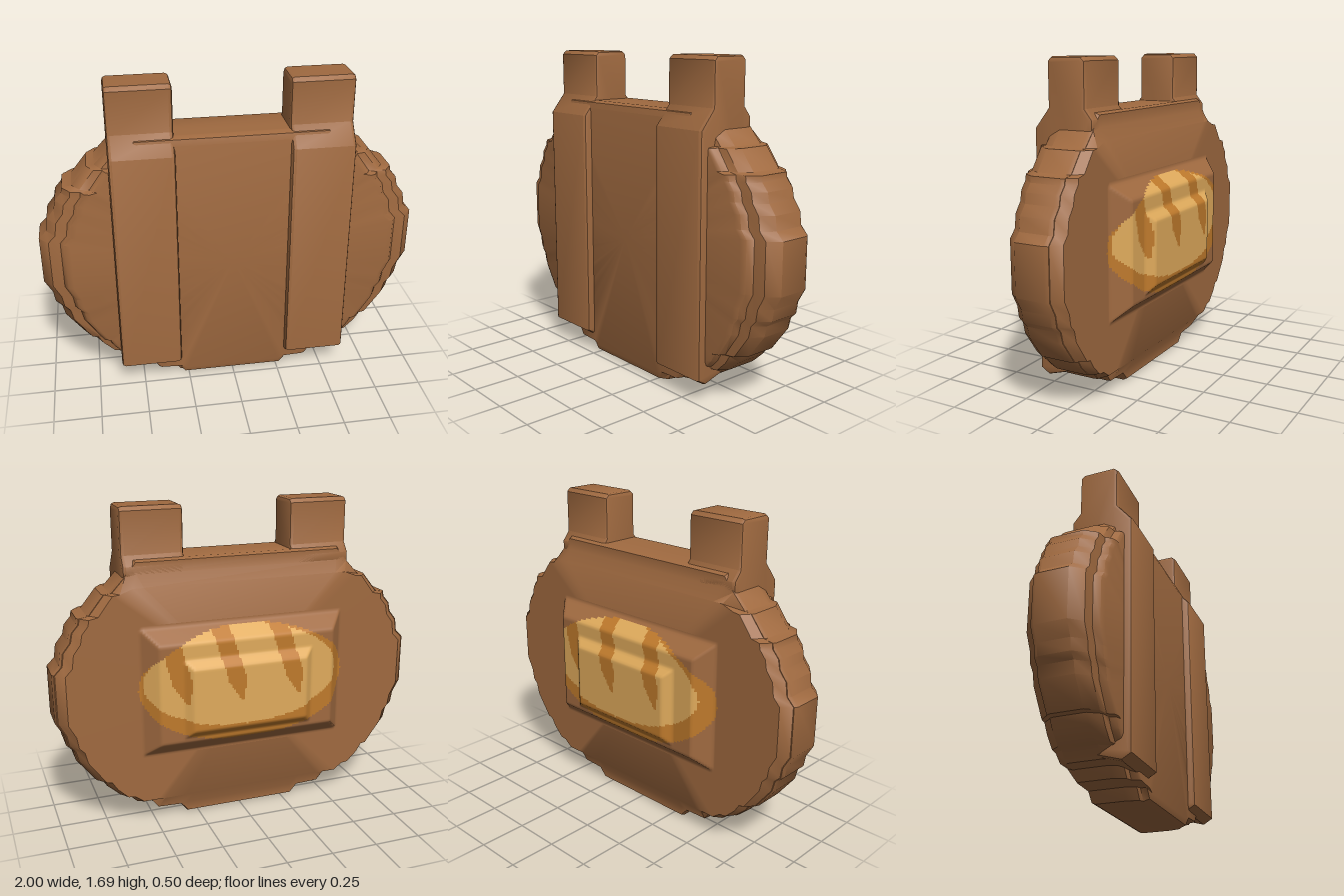
import * as THREE from 'three';
import { toCreasedNormals } from 'three/addons/utils/BufferGeometryUtils.js';

const MID = 0.715;
const clamp = THREE.MathUtils.clamp;

// Right half of the stepped board outline, from bottom to top
const HALF = [
  [0.31, 0], [0.35, 0.055], [0.48, 0.06], [0.52, 0.11], [0.6, 0.115], [0.65, 0.165],
  [0.69, 0.17], [0.75, 0.225], [0.78, 0.27], [0.81, 0.275], [0.905, 0.4], [0.92, 0.46],
  [0.95, 0.49], [0.96, 0.55], [1, 0.62], [1, 0.88], [0.96, 0.92], [0.95, 0.99],
  [0.91, 1.04], [0.9, 1.09], [0.865, 1.13], [0.86, 1.16], [0.81, 1.17], [0.73, 1.27],
  [0.69, 1.275], [0.62, 1.35], [0.56, 1.43],
];

// Board cross-sections from back to front: z, width factor, lowest y, highest y
const RINGS = [
  [-0.125, 0, MID, MID], [-0.125, 0.94, 0.13, 1.3], [-0.08, 0.985, 0.06, 1.36],
  [-0.08, 0.99, 0.01, 1.42], [-0.06, 1, 0, 1.43], [0.1, 1, 0, 1.43],
  [0.16, 0.95, 0, 1.43], [0.17, 0.89, 0, 1.43], [0.2, 0.87, 0.01, 1.42],
  [0.21, 0.84, 0.04, 1.39], [0.21, 0, MID, MID],
];

function boardGeometry() {
  const outline = [...HALF, ...HALF.map(([x, y]) => [-x, y]).reverse()];
  const n = outline.length;
  const pos = [];
  const index = [];
  RINGS.forEach(([z, s, lo, hi], i) => {
    outline.forEach(([x, y], j) => {
      pos.push(x * s, clamp(y, lo, hi), z);
      if (i === 0) return;
      const k = (j + 1) % n;
      const a = (i - 1) * n + j, b = (i - 1) * n + k, c = i * n + k, d = i * n + j;
      index.push(a, b, c, a, c, d);
    });
  });
  const geo = new THREE.BufferGeometry();
  geo.setAttribute('position', new THREE.Float32BufferAttribute(pos, 3));
  geo.setIndex(index);
  return toCreasedNormals(geo, 0.7);
}

// Front batten that carries on upwards as a hanging post
function battenGeometry() {
  const profile = [
    [0.2, 0.09], [0.25, 0.12], [0.25, 1.35], [0.17, 1.45], [0.17, 1.67], [0.15, 1.69],
    [-0.02, 1.69], [-0.04, 1.67], [-0.04, 1.45], [-0.08, 1.4], [-0.08, 1.34], [0, 1.2], [0, 0.15],
  ];
  const shape = new THREE.Shape(profile.map(([z, y]) => new THREE.Vector2(-z, y)));
  const bevel = 0.02;
  const geo = new THREE.ExtrudeGeometry(shape, {
    depth: 0.33 - 2 * bevel, bevelEnabled: true, bevelThickness: bevel,
    bevelSize: bevel, bevelOffset: -bevel, bevelSegments: 2,
  });
  geo.translate(0, 0, bevel - 0.165);
  geo.rotateY(Math.PI / 2);
  return toCreasedNormals(geo, 0.7);
}

// Height of the two-tier raised panel on the back
function relief(x, y) {
  const ax = Math.abs(x);
  const low = Math.min(0.087, 1.1 * Math.min(0.56 - ax, y - 0.4, 1.09 - y));
  const high = Math.min(0.127, 0.085 + 0.9 * Math.min(0.36 - ax, y - 0.5, 0.93 - y));
  return Math.max(0, low, high);
}

// Which colour covers a spot on the panel: 0 wood, 1 crust, 2 crumb
function loafColour(x, y) {
  const ry = y > 0.76 ? 0.32 : 0.3;
  if ((x / 0.575) ** 2 + ((y - 0.76) / ry) ** 2 > 1) return 0;
  const inner = ((x - 0.025) / 0.53) ** 2 + ((y - 0.79) / (y > 0.79 ? 0.29 : 0.23)) ** 2;
  if (inner > 1) return 1;
  for (const x0 of [0.38, 0.09, -0.23]) {
    const centre = x0 + 0.25 * (y - 0.85);
    const width = 0.05 * Math.min(1, (y - 0.68) / 0.12);
    if (y > 0.68 && Math.abs(x - centre) < width) return 1;
  }
  return 2;
}

// Raised back panel with the loaf painted over its slopes
function panelGeometry() {
  const geo = new THREE.PlaneGeometry(1.18, 0.72, 118, 72);
  geo.rotateY(Math.PI);
  geo.translate(0, 0.745, 0);
  const p = geo.attributes.position;
  for (let i = 0; i < p.count; i++) p.setZ(i, -0.128 - relief(p.getX(i), p.getY(i)));
  geo.computeVertexNormals();
  const old = geo.index.array;
  const sorted = [[], [], []];
  for (let i = 0; i < old.length; i += 6) {
    const a = old[i + 1], b = old[i + 2];
    const x = (p.getX(a) + p.getX(b)) / 2, y = (p.getY(a) + p.getY(old[i])) / 2;
    sorted[loafColour(x, y)].push(...old.slice(i, i + 6));
  }
  geo.setIndex(sorted.flat());
  let start = 0;
  sorted.forEach((list, m) => {
    geo.addGroup(start, list.length, m);
    start += list.length;
  });
  return geo;
}

export function createModel() {
  const material = (name, color) => {
    const m = new THREE.MeshStandardMaterial({ color });
    m.name = name;
    return m;
  };
  const wood = material('wood brown', 0xa06a40);
  const crust = material('crust orange', 0xbf7a2c);
  const crumb = material('loaf yellow', 0xe0ab5c);

  const group = new THREE.Group();
  group.name = 'hangingSign';
  const add = (name, geo, mat, x = 0) => {
    const mesh = new THREE.Mesh(geo, mat);
    mesh.name = name;
    mesh.position.x = x;
    group.add(mesh);
  };

  add('board', boardGeometry(), wood);
  const batten = battenGeometry();
  add('leftPost', batten, wood, 0.457);
  add('rightPost', batten, wood, -0.457);
  add('loafPanel', panelGeometry(), [wood, crust, crumb]);
  return group;
}
